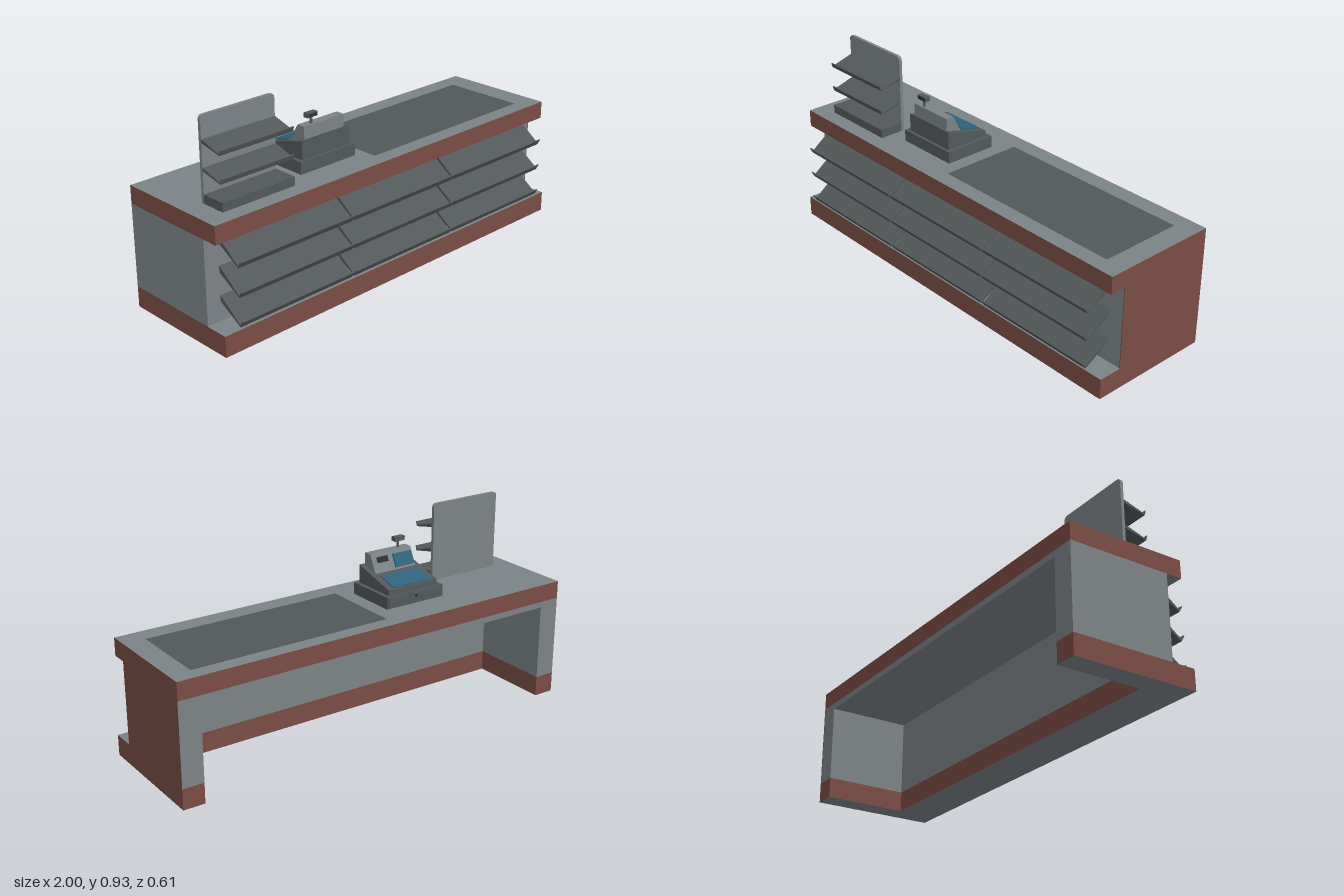
import * as THREE from 'three';

const mat = (name, color) => {
  const m = new THREE.MeshStandardMaterial({ color });
  m.name = name;
  return m;
};

export function createModel() {
  const brown = mat('brown laminate', 0x7a4c44);
  const grey = mat('light grey', 0x7c8386);
  const dark = mat('dark grey', 0x525859);
  const black = mat('charcoal', 0x2b2f30);
  const blue = mat('blue display', 0x2f627c);

  const model = new THREE.Group();
  model.name = 'checkoutCounter';
  const group = (name) => {
    const g = new THREE.Group();
    g.name = name;
    model.add(g);
    return g;
  };
  const add = (parent, name, geo, material) => {
    const m = new THREE.Mesh(geo, material);
    m.name = name;
    parent.add(m);
    return m;
  };
  // Box from its lower and upper limits on each axis
  const box = (parent, name, material, x0, x1, y0, y1, z0, z1) => {
    const g = new THREE.BoxGeometry(x1 - x0, y1 - y0, z1 - z0);
    g.translate((x0 + x1) / 2, (y0 + y1) / 2, (z0 + z1) / 2);
    return add(parent, name, g, material);
  };
  const points = (pts, sign = 1) => pts.map(([a, b]) => new THREE.Vector2(a, sign * b));
  const rect = (x0, x1, z0, z1) => [[x0, z0], [x1, z0], [x1, z1], [x0, z1]];
  // Floor plan in (x, z), raised from y0 to y1
  const plan = (parent, name, material, outline, y0, y1, hole) => {
    const s = new THREE.Shape(points(outline, -1));
    if (hole) s.holes.push(new THREE.Path(points(hole, -1)));
    const g = new THREE.ExtrudeGeometry(s, { depth: y1 - y0, bevelEnabled: false });
    g.rotateX(-Math.PI / 2).translate(0, y0, 0);
    return add(parent, name, g, material);
  };
  // Side profile in (z, y), stretched from x0 to x1
  const profile = (parent, name, material, pts, x0, x1) => {
    const g = new THREE.ExtrudeGeometry(new THREE.Shape(points(pts)), { depth: x1 - x0, bevelEnabled: false });
    g.rotateY(-Math.PI / 2).translate(x1, 0, 0);
    return add(parent, name, g, material);
  };

  // Counter: U-shaped plan open at the back
  const counter = group('counter');
  const back = -0.305, inner = 0.085, leg = 0.9;
  const uPlan = (front) => [[-1, front], [1, front], [1, back], [leg, back], [leg, inner],
    [-leg, inner], [-leg, back], [-1, back]];
  plan(counter, 'plinth', [grey, brown], uPlan(0.28), 0, 0.095);
  plan(counter, 'body', grey, uPlan(0.17), 0.095, 0.478);
  box(counter, 'endPanel', brown, 0.997, 1.0005, 0.094, 0.479, back, 0.1705);

  // Worktop: brown edge band, grey surface and a sunken conveyor belt
  const inset = rect(-0.996, 0.996, back + 0.004, 0.241);
  plan(counter, 'worktopEdge', [grey, brown], rect(-1, 1, back, 0.245), 0.478, 0.56, inset);
  const belt = rect(-0.065, 0.9, -0.235, 0.17);
  plan(counter, 'worktopSurface', grey, inset, 0.552, 0.56, belt);
  plan(counter, 'worktopCore', grey, inset, 0.478, 0.551);
  plan(counter, 'conveyorBelt', dark, rect(-0.06, 0.895, -0.23, 0.165), 0.548, 0.556);
  box(counter, 'underBoard', grey, -leg, leg, 0.45, 0.479, back + 0.001, inner);

  // Front shelves: three columns, three rows, each with a raised lip
  const shelves = group('frontShelves');
  for (const y of [0.47, 0.34, 0.21]) {
    for (const x of [-0.93, -0.308, 0.315]) {
      profile(shelves, 'shelf', dark, [[0.17, y], [0.288, y - 0.087], [0.302, y - 0.067],
        [0.306, y - 0.07], [0.29, y - 0.097], [0.17, y - 0.028]], x, x + 0.61);
    }
  }

  // Small countertop rack
  const rack = group('countertopRack');
  const x0 = -0.9, x1 = -0.525, top = 0.93, r = 0.02;
  const panel = new THREE.Shape();
  panel.moveTo(x0, 0.56);
  panel.lineTo(x1, 0.56);
  panel.lineTo(x1, top - r);
  panel.quadraticCurveTo(x1, top, x1 - r, top);
  panel.lineTo(x0 + r, top);
  panel.quadraticCurveTo(x0, top, x0, top - r);
  const panelGeo = new THREE.ExtrudeGeometry(panel, { depth: 0.015, bevelEnabled: false, curveSegments: 5 });
  add(rack, 'rackBack', panelGeo.translate(0, 0, 0.04), grey);
  box(rack, 'rackTray', dark, x0, x1, 0.56, 0.6, 0.05, 0.17);
  for (const y of [0.832, 0.713]) {
    profile(rack, 'rackShelf', dark, [[0.055, y], [0.161, y - 0.031], [0.167, y - 0.014],
      [0.171, y - 0.016], [0.164, y - 0.038], [0.055, y - 0.015]], x0, x1);
    for (const x of [-0.8, -0.62]) {
      profile(rack, 'rackBracket', brown, [[0.055, y - 0.015], [0.1, y - 0.023],
        [0.1, y - 0.027], [0.06, y - 0.032], [0.055, y - 0.065]], x - 0.003, x + 0.003);
    }
  }

  // Cash register, operator side facing the back
  const register = group('cashRegister');
  box(register, 'cashDrawer', dark, -0.433, -0.122, 0.56, 0.615, -0.147, 0.105);
  box(register, 'drawerFront', dark, -0.425, -0.13, 0.567, 0.61, -0.153, -0.147);
  const lock = new THREE.CylinderGeometry(0.006, 0.006, 0.008, 12);
  lock.rotateX(Math.PI / 2).translate(-0.278, 0.597, -0.155);
  add(register, 'drawerLock', lock, black);
  profile(register, 'registerBody', dark, [[0.09, 0.615], [0.09, 0.7], [0, 0.675],
    [-0.13, 0.64], [-0.13, 0.615]], -0.412, -0.142);
  profile(register, 'registerHead', grey, [[0.08, 0.69], [0.08, 0.755], [0.04, 0.755],
    [0, 0.675]], -0.39, -0.165);

  // Thin plates: each lies on a slope between two (z, y) points
  const plate = (name, material, [za, ya], [zb, yb], xa, xb, t) => {
    const l = Math.hypot(za - zb, ya - yb);
    const nz = -(ya - yb) / l * t, ny = (za - zb) / l * t;
    profile(register, name, material, [[za, ya], [zb, yb], [zb + nz, yb + ny], [za + nz, ya + ny]], xa, xb);
  };
  plate('keypad', blue, [-0.025, 0.668], [-0.122, 0.642], -0.383, -0.175, 0.004);
  plate('operatorScreen', blue, [0.032, 0.739], [0.004, 0.683], -0.383, -0.28, 0.007);
  plate('receiptSlot', black, [0.032, 0.739], [0.02, 0.715], -0.252, -0.192, 0.003);

  // Customer display on a pole
  const pole = new THREE.CylinderGeometry(0.006, 0.006, 0.035, 12);
  add(register, 'displayPole', pole.translate(-0.338, 0.77, 0.065), dark);
  box(register, 'customerDisplay', dark, -0.367, -0.312, 0.785, 0.805, 0.052, 0.078);
  box(register, 'customerScreen', black, -0.362, -0.317, 0.789, 0.801, 0.078, 0.08);

  return model;
}
